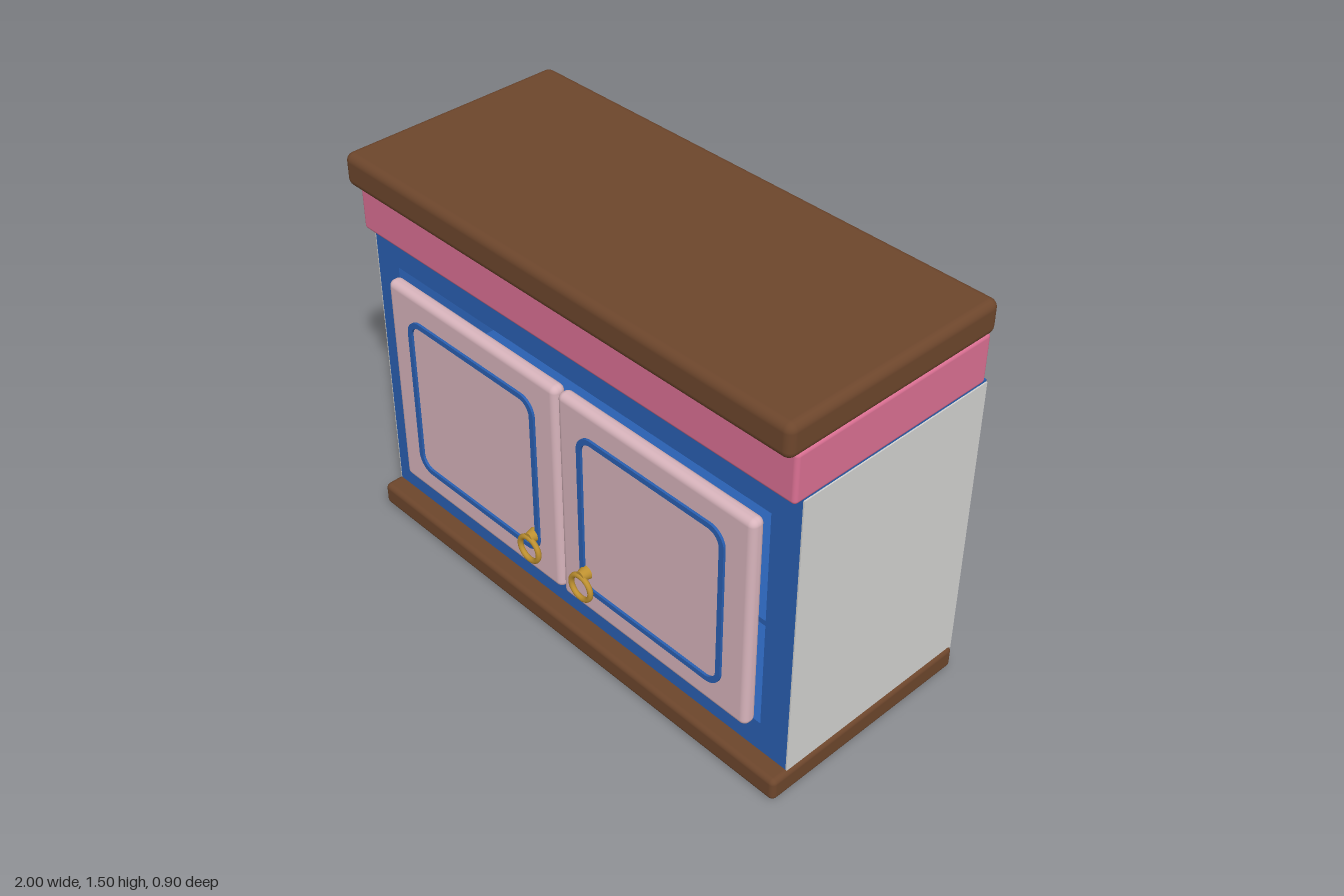
import * as THREE from 'three';
import { RoundedBoxGeometry } from 'three/addons/geometries/RoundedBoxGeometry.js';

const mat = (name, color) => {
  const m = new THREE.MeshStandardMaterial({ color });
  m.name = name;
  return m;
};

// Rounded rectangle outline, r = 0 gives a plain rectangle
function roundRect(path, x0, y0, x1, y1, r) {
  path.moveTo(x0 + r, y0);
  path.lineTo(x1 - r, y0);
  path.absarc(x1 - r, y0 + r, r, -Math.PI / 2, 0);
  path.lineTo(x1, y1 - r);
  path.absarc(x1 - r, y1 - r, r, 0, Math.PI / 2);
  path.lineTo(x0 + r, y1);
  path.absarc(x0 + r, y1 - r, r, Math.PI / 2, Math.PI);
  path.lineTo(x0, y0 + r);
  path.absarc(x0 + r, y0 + r, r, Math.PI, Math.PI * 1.5);
  return path;
}

function rect(path, x0, y0, x1, y1) {
  path.moveTo(x0, y0);
  path.lineTo(x1, y0);
  path.lineTo(x1, y1);
  path.lineTo(x0, y1);
  path.closePath();
  return path;
}

export function createModel() {
  const brown = mat('brown wood', 0x6d462c);
  const blue = mat('blue paint', 0x2a60b2);
  const rose = mat('rose paint', 0xdb7093);
  const palePink = mat('pale pink paint', 0xd8b4bc);
  const grey = mat('light grey paint', 0xd2d2d0);
  const gold = mat('gold metal', 0xbd9030);

  const model = new THREE.Group();
  model.name = 'cabinet';
  const add = (name, geo, material, parent = model) => {
    const mesh = new THREE.Mesh(geo, material);
    mesh.name = name;
    parent.add(mesh);
    return mesh;
  };
  // Box given by its lower and upper corners, optionally rounded
  const block = (name, [x0, y0, z0], [x1, y1, z1], r, material, parent) => {
    const s = [x1 - x0, y1 - y0, z1 - z0];
    const geo = r ? new RoundedBoxGeometry(...s, 4, r) : new THREE.BoxGeometry(...s);
    geo.translate((x0 + x1) / 2, (y0 + y1) / 2, (z0 + z1) / 2);
    return add(name, geo, material, parent);
  };

  // Stacked slabs
  block('base', [-1, 0, -0.45], [1, 0.09, 0.425], 0.02, brown);
  block('upperBand', [-0.99, 1.2, -0.44], [0.99, 1.385, 0.395], 0.015, rose);
  block('top', [-1, 1.382, -0.45], [1, 1.505, 0.44], 0.03, brown);

  // Carcass: open frame running front to back
  const frame = rect(new THREE.Shape(), -0.985, 0.08, 0.985, 1.205);
  frame.holes.push(rect(new THREE.Path(), -0.87, 0.21, 0.87, 1.08));
  const carcass = new THREE.ExtrudeGeometry(frame, { depth: 0.805, bevelEnabled: false });
  carcass.translate(0, 0, -0.45);
  add('carcass', carcass, blue);
  block('backPanel', [-0.88, 0.2, -0.435], [0.88, 1.09, -0.41], 0, blue);
  block('shelf', [-0.88, 0.615, -0.42], [0.88, 0.635, 0.34], 0, blue);

  for (const [side, s] of [['left', 1], ['right', -1]]) {
    // Painted side
    const plate = add(side + 'SidePanel', new THREE.BoxGeometry(0.006, 1.117, 0.804), grey);
    plate.position.set(s * 0.987, 0.6385, -0.0475);

    // Door
    const door = new THREE.Group();
    door.name = side + 'Door';
    model.add(door);
    const panel = add('doorPanel', new RoundedBoxGeometry(0.855, 0.845, 0.055, 4, 0.024), palePink, door);
    panel.position.set(s * 0.4315, 0.6425, 0.3875);

    // Raised trim with rounded corners
    const outline = roundRect(new THREE.Shape(), -0.325, -0.325, 0.325, 0.325, 0.065);
    outline.holes.push(roundRect(new THREE.Path(), -0.305, -0.305, 0.305, 0.305, 0.048));
    const trim = add('doorTrim', new THREE.ExtrudeGeometry(outline, {
      depth: 0.012, bevelEnabled: false, curveSegments: 8,
    }), blue, door);
    trim.position.set(s * 0.428, 0.643, 0.412);

    // Ring pull hanging from a knob
    const knobGeo = new THREE.CylinderGeometry(0.018, 0.026, 0.034, 20);
    knobGeo.rotateX(Math.PI / 2);
    const knob = add('handleKnob', knobGeo, gold, door);
    knob.position.set(s * 0.13, 0.394, 0.43);
    const ring = add('handleRing', new THREE.TorusGeometry(0.047, 0.01, 12, 36), gold, door);
    ring.position.set(s * 0.13, 0.344, 0.444);
  }

  return model;
}
